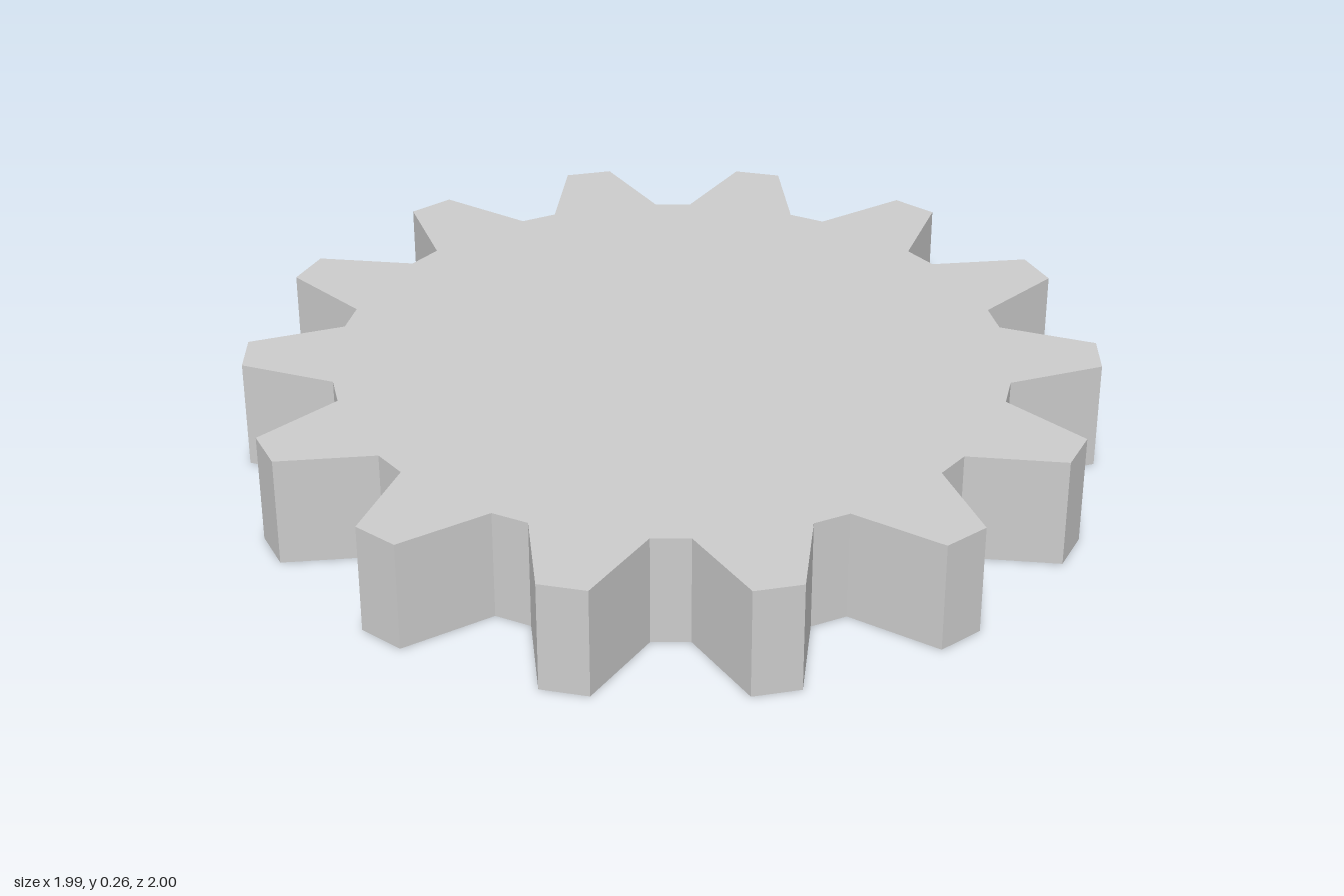
import * as THREE from 'three';

const TEETH = 14;
const TIP_RADIUS = 1;
const ROOT_RADIUS = 0.79;
const THICKNESS = 0.265;

export function createModel() {
  const group = new THREE.Group();
  group.name = 'gear';

  // Gear outline: each tooth takes four equal angular steps, two at the tip and two at the root
  const steps = TEETH * 4;
  const outline = [];
  for (let i = 0; i < steps; i++) {
    const angle = (i / steps) * Math.PI * 2;
    const radius = i % 4 < 2 ? TIP_RADIUS : ROOT_RADIUS;
    outline.push(new THREE.Vector2(radius * Math.sin(angle), -radius * Math.cos(angle)));
  }

  // Solid plate, laid flat on the ground
  const geometry = new THREE.ExtrudeGeometry(new THREE.Shape(outline), {
    depth: THICKNESS,
    bevelEnabled: false,
  });
  geometry.rotateX(-Math.PI / 2);

  const material = new THREE.MeshStandardMaterial({ color: 0xcccccc, flatShading: true });
  const gear = new THREE.Mesh(geometry, material);
  gear.name = 'toothedWheel';
  group.add(gear);
  return group;
}
